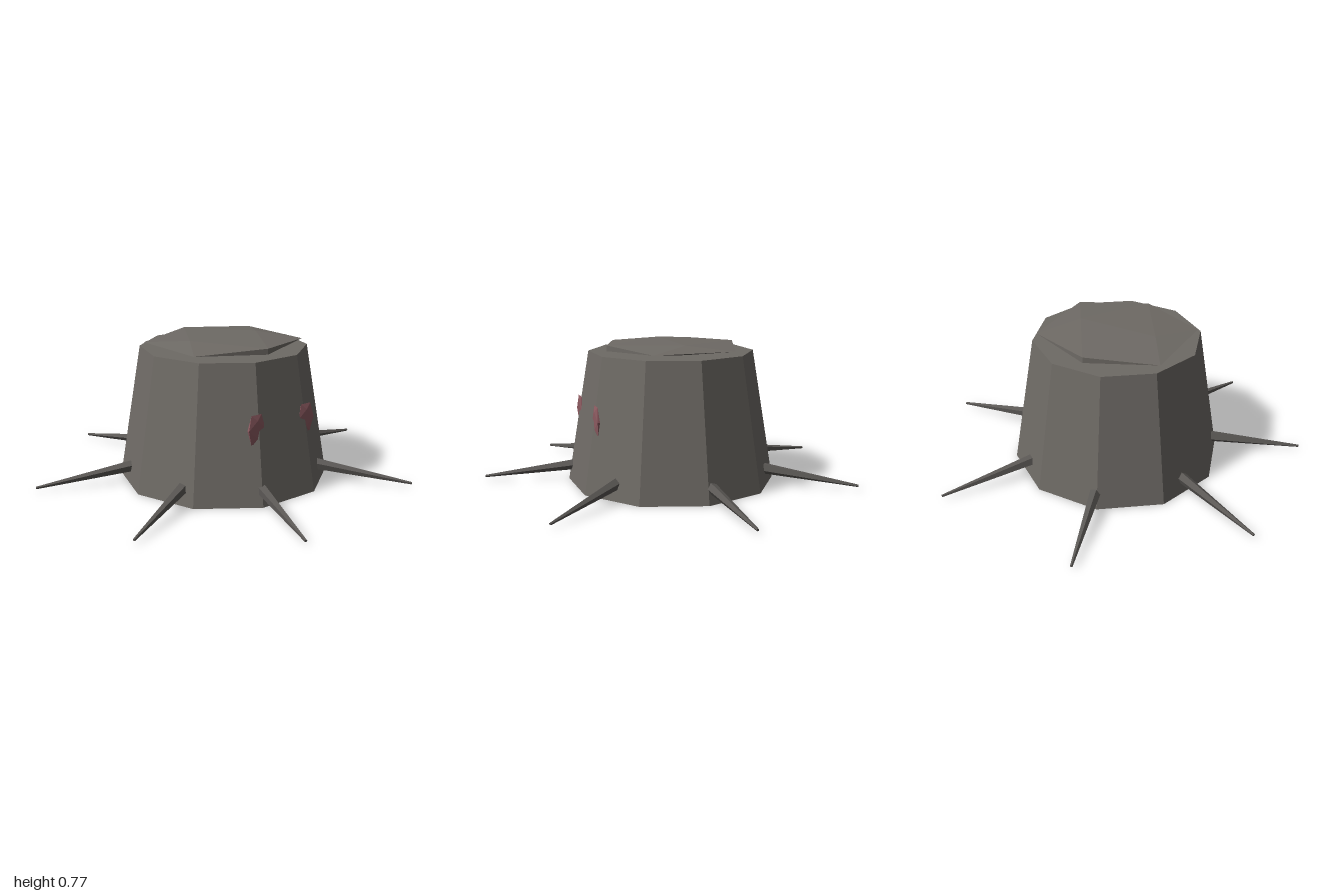
import * as THREE from 'three';

const material = (name, color, flat = true) => {
  const m = new THREE.MeshStandardMaterial({ color, flatShading: flat });
  m.name = name;
  return m;
};

export function createModel() {
  const model = new THREE.Group();
  const bark = material('bark', 0x6e6a65);
  const rootBark = material('rootBark', 0x5b5855);
  const pink = material('eyePink', 0x8c5a60);

  // The trunk sits slightly off centre, everything is placed around it
  const stump = new THREE.Group();
  stump.name = 'stump';
  stump.position.x = -0.035;
  model.add(stump);

  const add = (name, geometry, mat) => {
    const mesh = new THREE.Mesh(geometry, mat);
    mesh.name = name;
    stump.add(mesh);
    return mesh;
  };

  // Ten-sided tapering trunk, with a corner pointing to +x
  const trunk = add('trunk', new THREE.CylinderGeometry(0.45, 0.57, 0.72, 10), bark);
  trunk.position.y = 0.36;
  trunk.rotation.y = Math.PI / 10;

  // Flattened icosahedron as the cut top
  const top = add('cutTop', new THREE.IcosahedronGeometry(0.427, 0).scale(1, 0.069, 1), bark);
  top.position.y = 0.745;

  // Eyes: thin flattened gems half sunk in the front
  for (const side of [-1, 1]) {
    const eye = add(side < 0 ? 'rightEye' : 'leftEye',
      new THREE.IcosahedronGeometry(1, 0).scale(0.062, 0.089, 0.012), pink);
    eye.position.set(side * 0.167, 0.392, 0.472);
  }

  // Tapered roots radiating outwards and sloping down to the ground
  const angles = [2.5, 56.2, 106.6, 159.3, 208.4, 252.7, 307.3];
  const up = new THREE.Vector3(0, 1, 0);
  angles.forEach((degrees, i) => {
    const a = THREE.MathUtils.degToRad(degrees);
    const at = (r, y) => new THREE.Vector3(Math.cos(a) * r, y, -Math.sin(a) * r);
    const start = at(0.5, 0.09), end = at(1.034, 0.021);
    const along = end.clone().sub(start);
    const root = add('root' + (i + 1), new THREE.CylinderGeometry(0.007, 0.032, along.length(), 5), rootBark);
    root.position.copy(start).add(end).multiplyScalar(0.5);
    root.quaternion.setFromUnitVectors(up, along.normalize());
  });

  return model;
}
